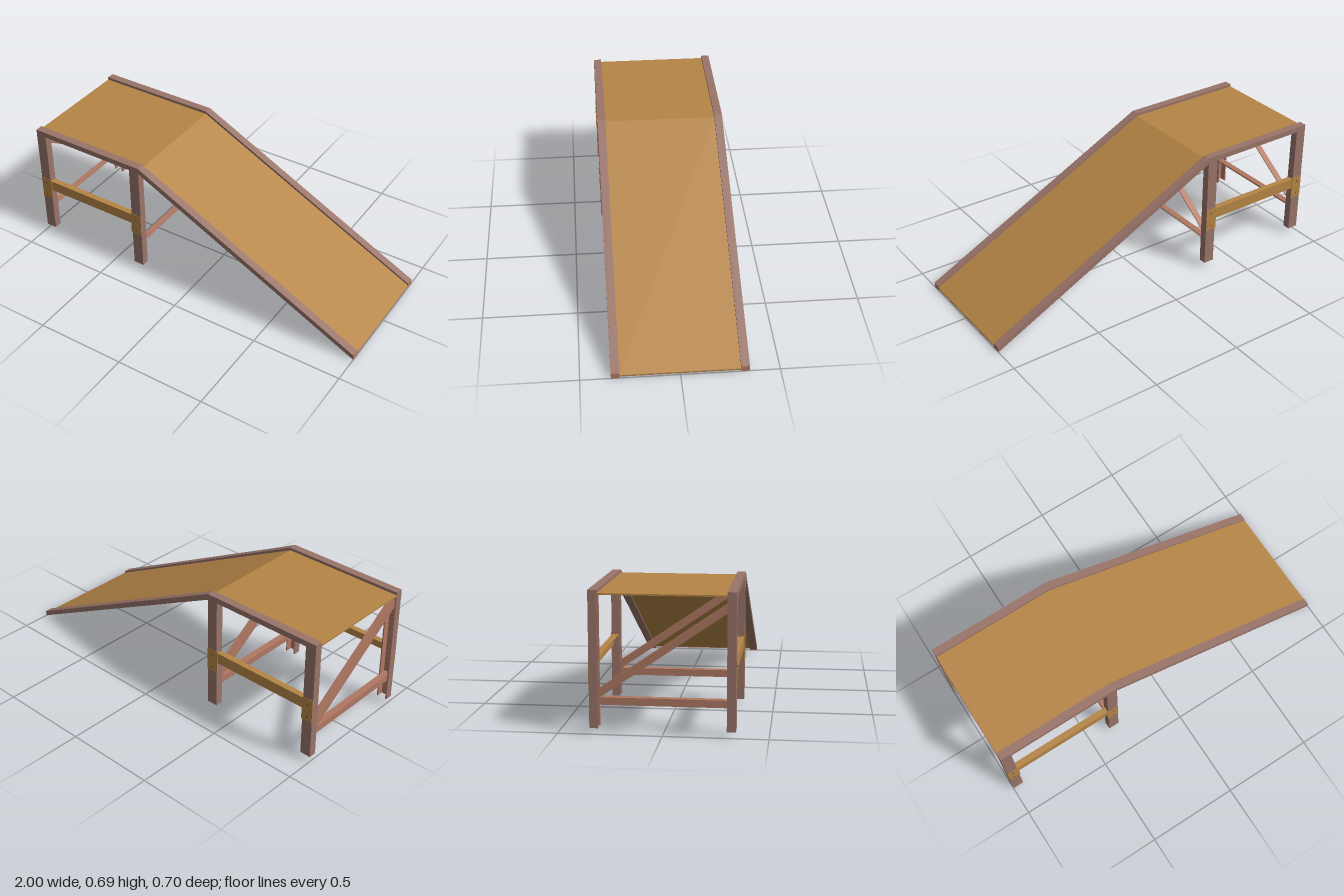
import * as THREE from 'three';

const mat = (name, color) => {
  const m = new THREE.MeshStandardMaterial({ color });
  m.name = name;
  return m;
};

export function createModel() {
  const steel = mat('brown steel', 0x997469);
  const rust = mat('rusty steel', 0xb07862);
  const ochre = mat('ochre board', 0xb58546);
  const dark = mat('bolt steel', 0x6b4f3c);
  const root = new THREE.Group();
  root.name = 'ramp';

  const add = (parent, name, geometry, material) => {
    const mesh = new THREE.Mesh(geometry, material);
    mesh.name = name;
    parent.add(mesh);
    return mesh;
  };
  const box = (parent, name, material, [x0, x1], [y0, y1], [z0, z1]) => {
    const mesh = add(parent, name, new THREE.BoxGeometry(x1 - x0, y1 - y0, Math.abs(z1 - z0)), material);
    mesh.position.set((x0 + x1) / 2, (y0 + y1) / 2, (z0 + z1) / 2);
    return mesh;
  };
  // Side profile swept across the width
  const sweep = (name, material, points, z0, z1) => {
    const shape = new THREE.Shape(points.map(p => new THREE.Vector2(...p)));
    const geometry = new THREE.ExtrudeGeometry(shape, { depth: z1 - z0, bevelEnabled: false });
    geometry.translate(0, 0, z0);
    return add(root, name, geometry, material);
  };

  // Platform and sloping deck
  sweep('deck', ochre, [[-1, 0.667], [-0.32, 0.667], [1, 0.01], [1, 0.018], [-0.315, 0.675], [-1, 0.675]], -0.304, 0.304);
  box(root, 'deckEndStrip', rust, [0.994, 1], [0.009, 0.016], [-0.304, 0.304]);

  const bays = [[-1, -0.94], [-0.375, -0.315]];
  for (const s of [1, -1]) {
    const side = s > 0 ? 'front' : 'back';
    const across = (a, b) => [s * a, s * b];

    // Edge rail following the platform and the slope
    const [z0, z1] = s > 0 ? [0.303, 0.346] : [-0.346, -0.303];
    sweep(side + 'Rail', steel, [[-1, 0.66], [-0.322, 0.66], [0.997, 0.002], [0.997, 0.031], [-0.315, 0.69], [-1, 0.69]], z0, z1);
    box(root, side + 'RailEnd', rust, [0.996, 1], [0, 0.031], [z0, z1]);

    // Channel legs, open towards the middle, with rusty inner faces
    for (const [x0, x1] of bays) {
      const leg = new THREE.Group();
      leg.name = side + 'Leg';
      root.add(leg);
      const h = [0.03, 0.661];
      box(leg, 'legWeb', steel, [x0, x1], h, across(0.342, 0.346));
      box(leg, 'legWebLining', rust, [x0 + 0.004, x1 - 0.004], h, across(0.339, 0.342));
      for (const [a, b, c, d] of [[x0, x0 + 0.004, x0 + 0.004, x0 + 0.007], [x1 - 0.004, x1, x1 - 0.007, x1 - 0.004]]) {
        box(leg, 'legFlange', steel, [a, b], h, across(0.304, 0.342));
        box(leg, 'legFlangeLining', rust, [c, d], h, across(0.303, 0.339));
      }

      // Joint plate and its two bolts
      const px = x0 < -0.5 ? [x0, x1 + 0.005] : [x0 - 0.005, x1];
      box(root, side + 'JointPlate', ochre, px, [0.24, 0.37], across(0.344, 0.348));
      for (const y of [0.265, 0.34]) {
        const bolt = add(root, side + 'Bolt', new THREE.CylinderGeometry(0.005, 0.005, 0.008, 8), dark);
        bolt.rotation.x = Math.PI / 2;
        bolt.position.set((x0 + x1) / 2, y, s * 0.346);
      }
    }

    // Angle-section tie between the legs
    box(root, side + 'Tie', ochre, [-0.942, -0.373], [0.3, 0.36], across(0.337, 0.343));
    box(root, side + 'TieFlange', ochre, [-0.942, -0.373], [0.354, 0.36], across(0.31, 0.337));
  }

  // Angle-section brace between two points (z, y) in one pair of legs
  const brace = (name, x, [za, ya], [zb, yb]) => {
    const g = new THREE.Group();
    g.name = name;
    const half = Math.hypot(zb - za, yb - ya) / 2;
    box(g, 'braceWeb', rust, [-0.018, -0.013], [-0.018, 0.018], [-half, half]);
    box(g, 'braceFlange', rust, [-0.013, 0.018], [0.013, 0.018], [-half, half]);
    g.position.set(x, (ya + yb) / 2, (za + zb) / 2);
    g.rotation.x = -Math.atan2(yb - ya, zb - za);
    root.add(g);
  };
  for (const [x0, x1] of bays) {
    const x = (x0 + x1) / 2;
    brace('lowerBrace', x, [-0.338, 0.16], [0.338, 0.16]);
    brace('diagonalBrace', x, [-0.325, 0.18], [0.325, 0.625]);
  }
  brace('topBrace', -0.345, [-0.338, 0.642], [0.338, 0.642]);

  return root;
}
